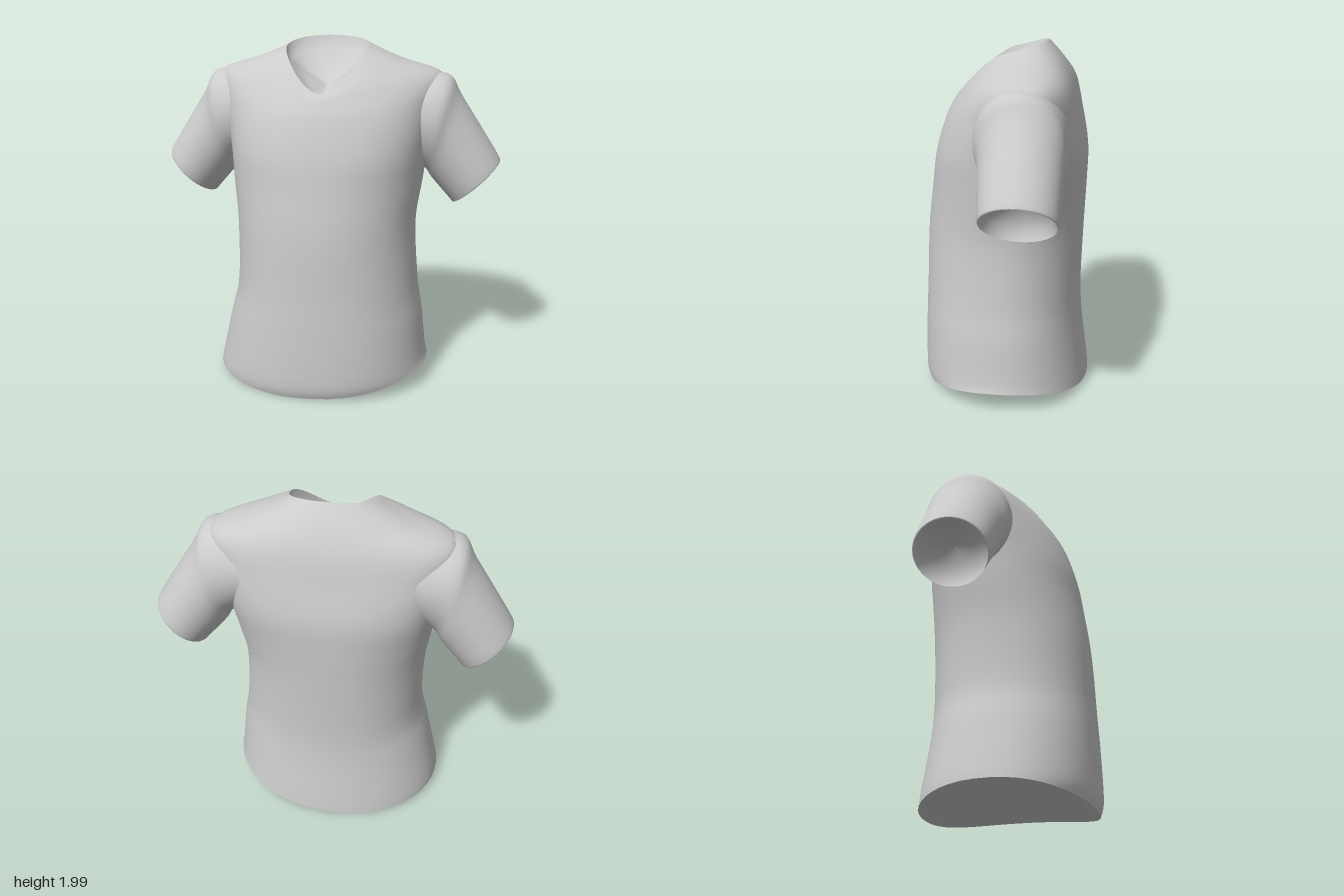
import * as THREE from 'three';

const SIDES = 48;
const material = new THREE.MeshStandardMaterial({ color: 0xcccccc, side: THREE.DoubleSide });

// Smooth surface through closed rings that all have the same number of points
function loft(name, rings) {
  const pos = [], index = [];
  rings.forEach(r => r.forEach(p => pos.push(p.x, p.y, p.z)));
  for (let j = 0; j < rings.length - 1; j++) {
    for (let i = 0; i < SIDES; i++) {
      const a = j * SIDES + i, b = j * SIDES + (i + 1) % SIDES;
      index.push(a, a + SIDES, b, b, a + SIDES, b + SIDES);
    }
  }
  const geo = new THREE.BufferGeometry();
  geo.setAttribute('position', new THREE.Float32BufferAttribute(pos, 3));
  geo.setIndex(index);
  geo.computeVertexNormals();
  const mesh = new THREE.Mesh(geo, material);
  mesh.name = name;
  return mesh;
}

// Smoothly adds in-between rows to a list of number rows
function refine(rows, steps) {
  const out = [];
  const row = k => rows[Math.max(0, Math.min(rows.length - 1, k))];
  for (let k = 0; k < rows.length - 1; k++) {
    for (let s = 0; s < steps; s++) {
      const t = s / steps;
      out.push(rows[k].map((p1, n) => {
        const p0 = row(k - 1)[n], p2 = row(k + 1)[n], p3 = row(k + 2)[n];
        return p1 + 0.5 * t * (p2 - p0 + t * (2 * p0 - 5 * p1 + 4 * p2 - p3 + t * (3 * (p1 - p2) + p3 - p0)));
      }));
    }
  }
  out.push(rows[rows.length - 1]);
  return out;
}

const ring = fn => Array.from({ length: SIDES }, (_, i) => fn(i / SIDES * Math.PI * 2));
const power = (v, e) => Math.sign(v) * Math.pow(Math.abs(v), e);

// Body section: side, front and back heights, right and left widths, z of the sides,
// front and back z, front and back roundness, sideways tilt, front and back height falloff
function bodyRing([ys, yf, yb, wr, wl, zc, zf, zb, pf, pb, tilt, qf, qb]) {
  return ring(a => {
    const c = Math.cos(a), s = Math.sin(a), front = s > 0;
    const e = 2 / (front ? pf : pb);
    const x = power(c, e) * (c > 0 ? wl : wr);
    const z = zc + power(s, e) * (front ? zf - zc : zc - zb);
    const y = ys + ((front ? yf : yb) - ys) * Math.pow(Math.abs(s), front ? qf : qb) + x * tilt;
    return new THREE.Vector3(x, y, z);
  });
}

// Shallow lining from a rim towards a centre: list of [inward amount, depth amount]
function lining(rim, centre, depth, steps) {
  return steps.map(([inward, d]) =>
    rim.map(p => p.clone().lerp(centre, inward).addScaledVector(depth, d)));
}

const HEM_TILT = 0.062;
const bodyRows = [
  [0.09, 0.012, 0.012, 0.65, 0.615, 0.01, 0.47, -0.485, 2.2, 2.2, HEM_TILT, 2, 2],
  [0.16, 0.10, 0.10, 0.635, 0.60, 0, 0.49, -0.475, 2.2, 2.2, 0.05, 2, 2],
  [0.40, 0.38, 0.38, 0.575, 0.575, 0, 0.485, -0.44, 2.2, 2.2, 0.02, 2, 2],
  [0.60, 0.60, 0.60, 0.525, 0.545, 0, 0.475, -0.43, 2.2, 2.2, 0, 2, 2],
  [0.95, 0.95, 0.95, 0.525, 0.52, -0.03, 0.46, -0.44, 2.2, 2.2, 0, 2, 2],
  [1.20, 1.20, 1.20, 0.555, 0.55, -0.08, 0.43, -0.45, 2.2, 2.3, 0, 2, 2],
  [1.40, 1.40, 1.40, 0.575, 0.575, -0.12, 0.40, -0.45, 2.3, 2.7, 0, 2, 2],
  [1.63, 1.59, 1.60, 0.62, 0.62, -0.14, 0.345, -0.41, 2.0, 3.0, 0, 2, 2],
  [1.80, 1.69, 1.77, 0.645, 0.645, -0.14, 0.295, -0.37, 1.6, 2.7, 0, 2.4, 1.8],
  [1.885, 1.715, 1.90, 0.42, 0.42, -0.10, 0.272, -0.305, 1.7, 2.3, 0, 2.6, 1.4],
  [1.95, 1.73, 2.0, 0.24, 0.24, -0.05, 0.25, -0.225, 1.7, 2.2, 0, 2, 0.9],
];

// Sleeve section: top x, y, underside x, y, middle z and half depth
const sleeveRows = [
  [0.42, 1.80, 0.40, 1.38, -0.135, 0.235],
  [0.665, 1.805, 0.55, 1.27, -0.135, 0.237],
  [0.76, 1.67, 0.60, 1.20, -0.15, 0.22],
  [0.965, 1.355, 0.70, 1.085, -0.16, 0.205],
  [0.985, 1.31, 0.72, 1.06, -0.16, 0.197],
];

function sleeve(side) {
  const group = new THREE.Group();
  const rings = refine(sleeveRows, 5).map(([tx, ty, bx, by, zc, hz]) => ring(a => {
    const k = (1 + Math.cos(a)) / 2;
    return new THREE.Vector3(side * (bx + (tx - bx) * k), by + (ty - by) * k, zc - side * hz * Math.sin(a));
  }));
  const rim = rings[rings.length - 1];
  const centre = new THREE.Vector3(side * 0.853, 1.185, -0.16);
  const inwards = new THREE.Vector3(side * -0.68, 0.73, 0);
  group.add(loft('sleeveFabric', rings));
  group.add(loft('cuffLining', lining(rim, centre, inwards, [[0, 0], [0.12, 0.06], [0.5, 0.11], [1, 0.13]])));
  group.name = side > 0 ? 'leftSleeve' : 'rightSleeve';
  return group;
}

export function createModel() {
  const model = new THREE.Group();
  model.name = 'shirt';

  // Body from hem to collar, widening into the shoulders
  const body = refine(bodyRows, 5).map(bodyRow => bodyRing(bodyRow));
  model.add(loft('body', body));

  // Hollow inside the V-shaped collar
  const collar = body[body.length - 1];
  const down = new THREE.Vector3(0, -1, 0);
  model.add(loft('collarLining', lining(collar, new THREE.Vector3(0, 1.77, 0.02), down,
    [[0, 0], [0.1, 0.05], [0.5, 0.05], [1, 0.03]])));

  // Underside inside the hem, arched from front to back
  const hem = body[0];
  const spine = hem.map(p => new THREE.Vector3(0, p.y - HEM_TILT * p.x, p.z));
  model.add(loft('hemLining', [spine, hem]));

  // Short sleeves
  [1, -1].forEach(side => model.add(sleeve(side)));
  return model;
}
